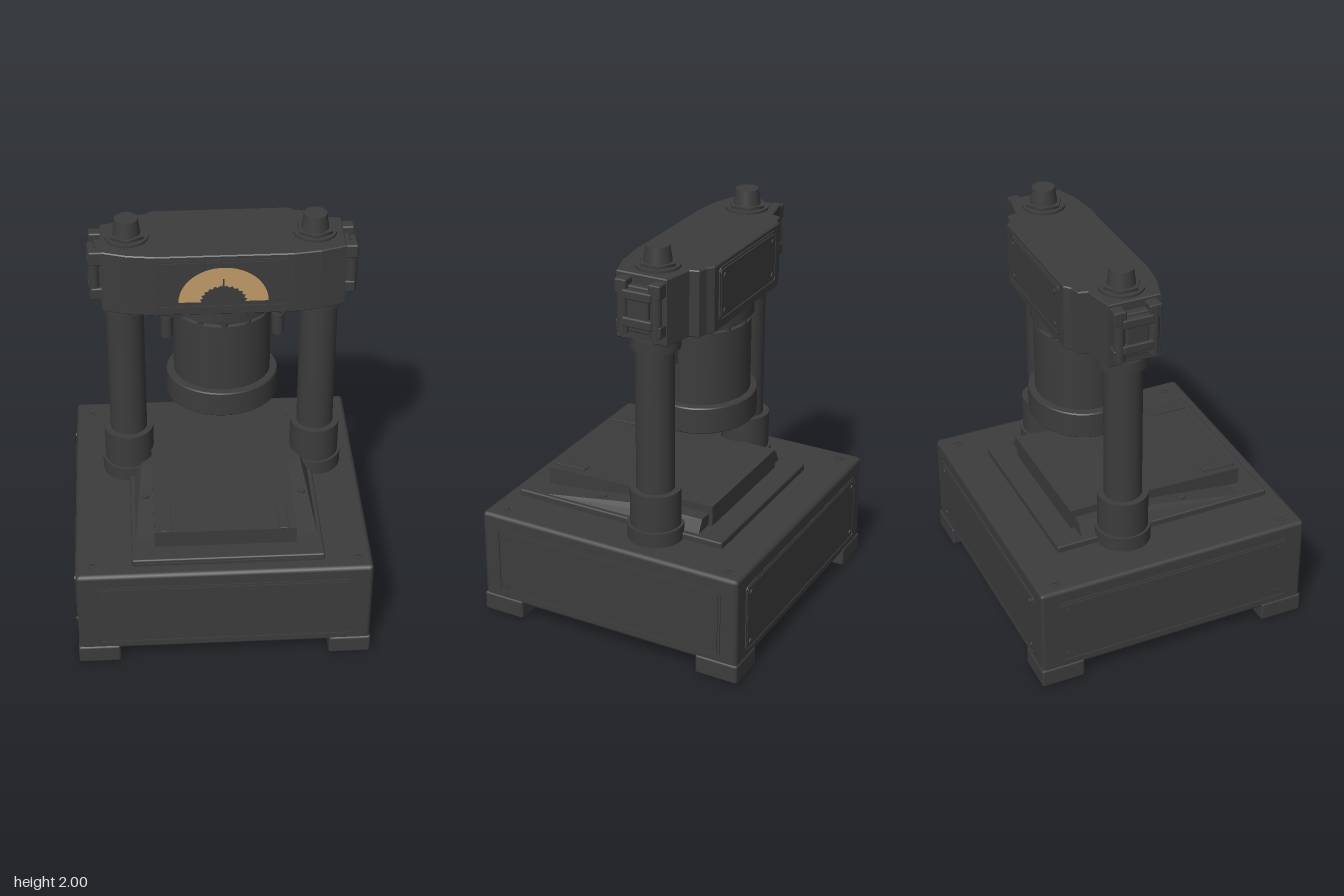
import * as THREE from 'three';
import { RoundedBoxGeometry } from 'three/addons/geometries/RoundedBoxGeometry.js';
import { ConvexGeometry } from 'three/addons/geometries/ConvexGeometry.js';

const iron = new THREE.MeshStandardMaterial({ color: 0x3c3c3c });
iron.name = 'dark iron';
const brass = new THREE.MeshStandardMaterial({ color: 0xc09a69 });
brass.name = 'dial tan';

const CX = 0.032;   // centre line of the press frame
const CZ = -0.155;  // depth of columns

function add(parent, name, geometry, x = 0, y = 0, z = 0, material = iron) {
  const mesh = new THREE.Mesh(geometry, material);
  mesh.name = name;
  mesh.position.set(x, y, z);
  parent.add(mesh);
  return mesh;
}

const box = (w, h, d, r = 0.008) => new RoundedBoxGeometry(w, h, d, 1, r);

// Upright cylinder given by its bottom and top heights
function drum(parent, name, r, y0, y1, x, z, sides = 32) {
  return add(parent, name, new THREE.CylinderGeometry(r, r, y1 - y0, sides), x, (y0 + y1) / 2, z);
}

function polygon(points) {
  return new THREE.Shape(points.map(([x, y]) => new THREE.Vector2(x, y)));
}

function roundedRect(w, h, r) {
  const s = new THREE.Shape();
  s.absarc(w / 2 - r, h / 2 - r, r, 0, Math.PI / 2);
  s.absarc(r - w / 2, h / 2 - r, r, Math.PI / 2, Math.PI);
  s.absarc(r - w / 2, r - h / 2, r, Math.PI, Math.PI * 1.5);
  s.absarc(w / 2 - r, r - h / 2, r, Math.PI * 1.5, Math.PI * 2);
  return s;
}

// Raised cover plate with a rim and four corner screws
function panel(parent, name, w, h, x, y, z, turn = 0) {
  const group = new THREE.Group();
  group.name = name;
  group.position.set(x, y, z);
  group.rotation.y = turn;
  const rim = roundedRect(w, h, 0.025);
  rim.holes.push(roundedRect(w - 0.018, h - 0.018, 0.018));
  add(group, 'panelRim', new THREE.ExtrudeGeometry(rim, { depth: 0.006, bevelEnabled: false }));
  add(group, 'panelPlate', new THREE.ExtrudeGeometry(roundedRect(w - 0.03, h - 0.03, 0.014), { depth: 0.006, bevelEnabled: false }));
  for (const sx of [-1, 1]) for (const sy of [-1, 1]) {
    const screw = add(group, 'panelScrew', new THREE.CylinderGeometry(0.012, 0.012, 0.008, 10),
      sx * (w / 2 - 0.045), sy * (h / 2 - 0.045), 0.008);
    screw.rotation.x = Math.PI / 2;
  }
  parent.add(group);
}

function buildBase(root) {
  const base = new THREE.Group();
  base.name = 'base';
  root.add(base);
  add(base, 'baseBody', box(1.42, 0.47, 1.39, 0.02), 0, 0.315, 0);
  for (const sx of [-1, 1]) for (const sz of [-1, 1]) {
    add(base, 'foot', box(0.205, 0.1, 0.22, 0.012), sx * 0.612, 0.05, sz * 0.59);
    drum(base, 'cornerWasher', 0.03, 0.545, 0.553, sx * 0.635, sz * 0.6, 20);
    drum(base, 'cornerScrew', 0.016, 0.545, 0.559, sx * 0.635, sz * 0.6, 6);
  }
  for (const s of [-1, 1]) {
    panel(base, 'endPanel', 1.245, 0.355, 0, 0.302, s * 0.694, s > 0 ? 0 : Math.PI);
    panel(base, 'sidePanel', 1.22, 0.355, s * 0.709, 0.302, 0, s * Math.PI / 2);
  }

  // Low plate and sloping bed under the work table
  add(base, 'bedPlate', box(0.92, 0.05, 1.12), 0.02, 0.558, 0.065);
  const bed = [];
  for (const s of [-1, 1]) {
    for (const [hw, y, z] of [[0.45, 0.55, 0.63], [0.45, 0.565, 0.63], [0.45, 0.55, -0.36], [0.4, 0.645, -0.03], [0.4, 0.645, -0.36]])
      bed.push(new THREE.Vector3(0.02 + s * hw, y, z));
  }
  add(base, 'slopingBed', new ConvexGeometry(bed));

  // Work table, drawn in side profile (z, y)
  const side = polygon([[0.53, 0.57], [0.53, 0.67], [-0.05, 0.685], [-0.38, 0.685], [-0.38, 0.57]].reverse());
  const table = new THREE.ExtrudeGeometry(side, { depth: 0.68, bevelEnabled: false });
  table.rotateY(-Math.PI / 2);
  add(base, 'workTable', table, 0.352, 0, 0);
  for (const s of [-1, 1]) {
    const strip = add(base, 'tableStrip', box(0.045, 0.008, 0.18, 0.002), 0.01 + s * 0.28, 0.676, 0.44);
    strip.rotation.x = 0.026;
    drum(base, 'bedScrew', 0.02, 0.6, 0.627, 0.02 + s * 0.385, 0.19, 12);
  }
}

function buildColumn(root, s) {
  const column = new THREE.Group();
  column.name = s > 0 ? 'leftColumn' : 'rightColumn';
  root.add(column);
  const x = CX + s * 0.467;
  const bx = 0.026 + s * 0.44;
  drum(column, 'columnFlange', 0.135, 0.55, 0.625, x, CZ);
  drum(column, 'columnCollar', 0.122, 0.62, 0.81, x, CZ);
  drum(column, 'columnShaft', 0.091, 0.8, 1.6, x, CZ);
  drum(column, 'topCollar', 0.118, 1.525, 1.585, x - s * 0.005, CZ);
  drum(column, 'washer', 0.104, 1.89, 1.912, bx, CZ);
  drum(column, 'hexNut', 0.09, 1.91, 1.925, bx, CZ, 6);
  add(column, 'boltHead', new THREE.CylinderGeometry(0.055, 0.066, 0.08, 24), bx, 1.96, CZ);
}

// Clamp on the end of the crosshead
function buildClamp(root, s) {
  const clamp = new THREE.Group();
  clamp.name = 'endClamp';
  root.add(clamp);
  const x = (d) => CX + s * d;
  add(clamp, 'clampPlate', box(0.06, 0.22, 0.19), x(0.575), 1.745, CZ);
  for (const dz of [-0.085, 0.085]) {
    add(clamp, 'clampLug', box(0.07, 0.07, 0.06), x(0.592), 1.85, CZ + dz);
    add(clamp, 'clampLug', box(0.06, 0.06, 0.06), x(0.59), 1.66, CZ + dz);
    drum(clamp, 'clampPin', 0.026, 1.63, 1.88, x(0.603), CZ + dz, 14);
  }
  for (const y of [1.69, 1.82]) add(clamp, 'clampBand', box(0.06, 0.045, 0.15), x(0.605), y, CZ);
  add(clamp, 'clampBlock', box(0.04, 0.1, 0.11), x(0.603), 1.755, CZ);
}

function buildCrosshead(root) {
  const head = new THREE.Group();
  head.name = 'crosshead';
  root.add(head);
  // Beam outline seen from above as (x, z), mirrored about the centre line
  const half = [[0.32, 0.038], [0.45, 0.02], [0.57, -0.02], [0.57, -0.275], [0.42, -0.305], [0.41, -0.35], [0.36, -0.36], [0.33, -0.385]];
  const outline = [...half.map(([x, z]) => [CX + x, -z]), ...half.slice().reverse().map(([x, z]) => [CX - x, -z])];
  const beam = new THREE.ExtrudeGeometry(polygon(outline), { depth: 0.31, bevelEnabled: true, bevelSize: 0.005, bevelThickness: 0.005, bevelOffset: -0.005, bevelSegments: 1 });
  beam.rotateX(-Math.PI / 2);
  add(head, 'beam', beam, 0, 1.585, 0);

  panel(head, 'dialPanel', 0.625, 0.26, 0.022, 1.75, 0.038);
  panel(head, 'rearPanel', 0.58, 0.26, CX, 1.75, -0.385, Math.PI);

  // Half-round dial with a notched dark centre and needle
  const dial = new THREE.Shape();
  dial.absarc(0, 0, 0.21, 0, Math.PI, false);
  for (let i = 0; i <= 24; i++) {
    const a = Math.PI * (1 - i / 24);
    const r = i % 2 ? 0.112 : 0.1;
    dial.lineTo(Math.cos(a) * r, Math.sin(a) * r * 0.9);
  }
  const face = new THREE.ShapeGeometry(dial, 32);
  face.scale(1, 0.88, 1);
  add(head, 'dialFace', face, 0.027, 1.656, 0.047, brass);
  add(head, 'needle', new THREE.ShapeGeometry(polygon([[-0.008, 0], [0.008, 0], [0.003, 0.125], [-0.003, 0.125]])), 0.027, 1.656, 0.049);

  for (const s of [-1, 1]) buildClamp(head, s);
}

function buildRam(root) {
  // Slightly flattened front to back
  const ram = new THREE.Group();
  ram.name = 'ram';
  ram.position.set(CX, 0, -0.17);
  ram.scale.z = 0.89;
  root.add(ram);
  const profile = [[0, 1.01], [0.268, 1.01], [0.272, 1.014], [0.272, 1.136], [0.268, 1.142], [0.236, 1.145], [0.236, 1.505], [0.218, 1.51], [0.218, 1.53], [0.25, 1.535], [0.25, 1.59]];
  // Doubled corners keep the turned edges crisp
  const crisp = profile.flatMap(([r, y]) => [new THREE.Vector2(r, y), new THREE.Vector2(r, y)]);
  for (let i = 1; i < crisp.length; i += 2) crisp[i].y += 0.0004;
  add(ram, 'ramCylinder', new THREE.LatheGeometry(crisp, 48));
  for (let i = 0; i < 12; i++) {
    const a = (i / 12) * Math.PI * 2;
    drum(ram, 'flangeBolt', 0.018, 1.508, 1.54, Math.cos(a) * 0.225, Math.sin(a) * 0.225, 6);
  }

  // Hydraulic fittings hanging beside the ram
  for (const s of [-1, 1]) {
    const x = CX + s * 0.268;
    add(root, 'fittingMount', box(0.13, 0.04, 0.14), x, 1.565, -0.13);
    drum(root, 'fittingNut', 0.042, 1.5, 1.55, x, -0.13, 6);
    drum(root, 'fittingStem', 0.022, 1.45, 1.51, x, -0.13, 16);
    drum(root, 'fittingNozzle', 0.03, 1.36, 1.47, x, -0.13, 16);
  }
}

export function createModel() {
  const model = new THREE.Group();
  model.name = 'hydraulicPress';
  buildBase(model);
  for (const s of [-1, 1]) buildColumn(model, s);
  buildCrosshead(model);
  buildRam(model);
  return model;
}
